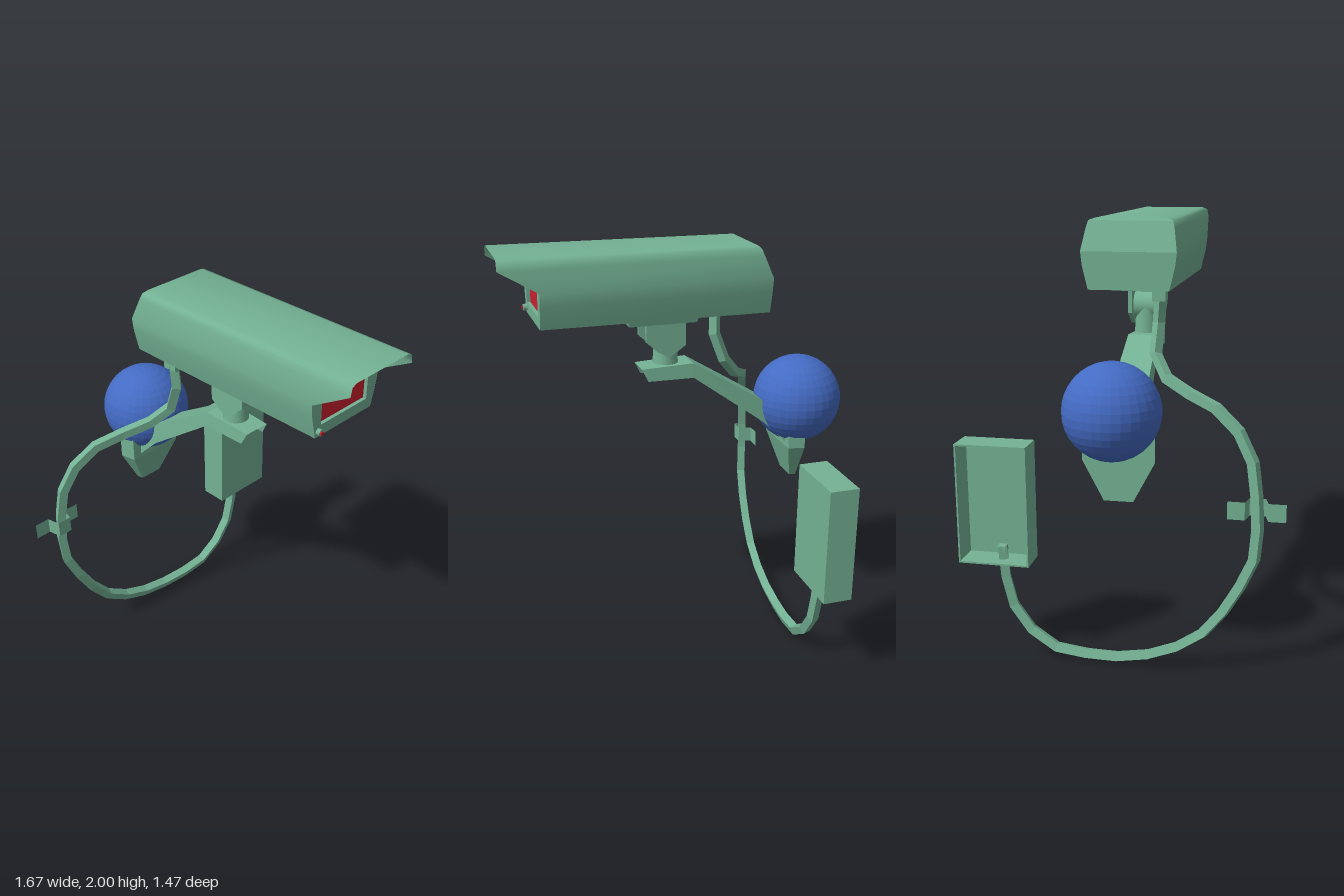
import * as THREE from 'three';
import { toCreasedNormals } from 'three/addons/utils/BufferGeometryUtils.js';

const MID = 0.018; // z of the camera's centre plane

// Skin a list of equal-length rows of [x, y, z] points
function loft(rows, closed, crease = 0.01) {
  const n = rows[0].length, index = [];
  for (let i = 0; i < rows.length - 1; i++) {
    for (let j = 0; j < (closed ? n : n - 1); j++) {
      const k = (j + 1) % n, a = i * n + j, b = i * n + k, c = a + n, d = b + n;
      index.push(a, b, c, b, d, c);
    }
  }
  const g = new THREE.BufferGeometry();
  g.setAttribute('position', new THREE.Float32BufferAttribute(rows.flat(2), 3));
  g.setIndex(index);
  return toCreasedNormals(g, crease);
}

function flat(geometry) {
  const g = geometry.index ? geometry.toNonIndexed() : geometry;
  g.computeVertexNormals();
  return g;
}

const shapeOf = (pts) => new THREE.Shape(pts.map(([x, y]) => new THREE.Vector2(x, y)));
const extrude = (shape, depth) => new THREE.ExtrudeGeometry(shape, { depth, bevelEnabled: false });

export function createModel() {
  const model = new THREE.Group();
  const green = new THREE.MeshStandardMaterial({ color: 0x74b294, side: THREE.DoubleSide });
  green.name = 'green';
  const blue = new THREE.MeshStandardMaterial({ color: 0x446bc4 });
  blue.name = 'blue';
  const red = new THREE.MeshStandardMaterial({ color: 0xcc2030 });
  red.name = 'red';

  function add(name, geometry, material = green, x = 0, y = 0, z = 0) {
    const mesh = new THREE.Mesh(geometry, material);
    mesh.name = name;
    mesh.position.set(x, y, z);
    model.add(mesh);
    return mesh;
  }
  // Box from its minimum and maximum corners
  function box(name, x0, x1, y0, y1, z0, z1, material = green) {
    return add(name, new THREE.BoxGeometry(x1 - x0, y1 - y0, z1 - z0), material,
      (x0 + x1) / 2, (y0 + y1) / 2, (z0 + z1) / 2);
  }

  // Camera housing: half profile as [half width, y, back x, front x]
  const half = [
    [0.18, 1.685, -0.4, 0.66], [0.205, 1.79, -0.4, 0.66], [0.212, 1.85, -0.4, 0.66],
    [0.195, 1.95, -0.36, 0.83], [0.187, 1.98, -0.348, 0.83], [0.16, 1.99, -0.34, 0.83],
  ];
  const back = (s) => half.map(([w, y, xb]) => [xb, y, MID + s * w]);
  const front = (s) => half.map(([w, y, , xf]) => [xf, y + (y > 1.96 ? 0.01 : 0), MID + s * w * 0.97]);
  const ring = (f) => [...f(1), ...f(-1).reverse()];
  add('housing', loft([ring(front), ring(back)], true, 1.15));
  const left = back(1), right = back(-1);
  add('housingBack', loft(left.map((p, i) => [p, right[i]]), false));

  // Recessed red window in the front frame
  const frameSide = half.slice(0, 5).map(([w, y]) => [w * 0.965, y]);
  const frame = shapeOf([...frameSide, ...frameSide.map(([w, y]) => [-w, y]).reverse()]);
  const hole = [[-0.142, 1.735], [0.142, 1.735], [0.142, 1.95], [-0.142, 1.95]];
  frame.holes.push(shapeOf(hole));
  add('frontFrame', extrude(frame, 0.02).rotateY(Math.PI / 2), green, 0.64, 0, MID);
  box('window', 0.636, 0.644, 1.73, 1.955, MID - 0.147, MID + 0.147, red);

  // Small indicator light
  const disc = (r, h) => new THREE.CylinderGeometry(r, r, h, 10).rotateZ(-Math.PI / 2);
  add('lightRim', disc(0.015, 0.02), green, 0.668, 1.71, 0.175);
  add('light', disc(0.009, 0.008), red, 0.68, 1.71, 0.175);

  // Mounting plate and yoke below the housing
  const plateRow = (y, x0, x1, w) => [
    [x0, y, MID - w], [x0, y, MID + w], [x1, y, MID + w], [x1, y, MID - w],
  ];
  const bottom = plateRow(1.645, -0.075, 0.245, 0.1);
  add('mountPlate', loft([bottom, plateRow(1.69, -0.09, 0.255, 0.11)], true));
  add('mountPlateBottom', loft([[bottom[0], bottom[1]], [bottom[3], bottom[2]]], false));
  const yoke = shapeOf([[-0.03, 1.65], [-0.03, 1.535], [0.05, 1.48], [0.105, 1.51], [0.16, 1.56], [0.16, 1.65]]);
  for (const z of [MID - 0.078, MID + 0.058]) add('yokeCheek', extrude(yoke, 0.02), green, 0, 0, z);
  add('tiltAxle', new THREE.CylinderGeometry(0.065, 0.065, 0.13, 20).rotateX(Math.PI / 2), green, 0.06, 1.565, MID);
  add('neck', new THREE.CylinderGeometry(0.052, 0.06, 0.12, 20), green, 0.048, 1.5, MID);

  // Arm: a channel open below, as [top x, top y, bottom x, bottom y, half width]
  const arm = [
    [0.18, 1.43, 0.15, 1.37, 0.07], [-0.07, 1.44, -0.07, 1.37, 0.075],
    [-0.46, 1.2, -0.43, 1.11, 0.09], [-0.61, 1.11, -0.54, 1.0, 0.1],
  ];
  add('arm', loft(arm.map(([tx, ty, bx, by, w]) => [
    [bx, by, MID - w], [tx, ty, MID - w * 0.92], [tx, ty, MID + w * 0.92], [bx, by, MID + w],
  ]), false));

  // Tapered wall bracket behind the ball
  const wall = [[1.12, 0.16, -0.54], [0.98, 0.16, -0.54], [0.8, 0.065, -0.59]].map(([y, w, xf]) => [
    [-0.62, y, MID - w], [-0.62, y, MID + w], [xf, y, MID + w * 0.9], [xf, y, MID - w * 0.9],
  ]);
  add('wallBracket', loft([...wall].reverse(), true));
  const foot = wall[2];
  add('wallBracketFoot', loft([[foot[0], foot[1]], [foot[3], foot[2]]], false));

  // Blue ball joint
  add('ball', flat(new THREE.SphereGeometry(0.215, 32, 18)), blue, -0.625, 1.2, -0.007);

  // Square cable from the housing to the junction box
  const path = [
    [-0.24, 1.67, 0.135], [-0.235, 1.52, 0.125], [-0.31, 1.35, 0.13], [-0.4, 1.275, 0.23],
    [-0.505, 1.2, 0.43], [-0.56, 1.05, 0.57], [-0.587, 0.8, 0.615], [-0.583, 0.56, 0.608],
    [-0.575, 0.41, 0.54], [-0.57, 0.2, 0.4], [-0.565, 0.08, 0.21], [-0.56, 0.03, 0],
    [-0.55, 0.028, -0.17], [-0.545, 0.06, -0.34], [-0.54, 0.25, -0.505], [-0.54, 0.52, -0.545],
  ].map((p) => new THREE.Vector3(...p));
  const curve = new THREE.CatmullRomCurve3(path, false, 'centripetal');
  add('cable', flat(new THREE.TubeGeometry(curve, 22, 0.029, 4)));
  box('cablePlug', -0.275, -0.2, 1.625, 1.675, 0.1, 0.16);
  box('cablePlugTop', -0.262, -0.213, 1.67, 1.69, 0.11, 0.15);
  box('cableEnd', -0.56, -0.52, 0.5, 0.525, -0.565, -0.525);

  // Clip holding the cable, bent from a strip
  const strip = [[-0.62, 0.74], [-0.62, 0.665], [-0.555, 0.65], [-0.555, 0.58], [-0.62, 0.565], [-0.62, 0.49]];
  add('cableClip', loft([0.75, 0.83].map((y) => strip.map(([x, z]) => [x, y, z])), false));

  // Junction box, open on the wall side
  const [x0, x1, y0, y1, z0, z1, t] = [-0.615, -0.475, 0.455, 1.015, -0.73, -0.4, 0.008];
  box('boxFace', x1 - t, x1, y0, y1, z0, z1);
  box('boxTop', x0, x1 - t, y1 - t, y1, z0, z1);
  box('boxBottom', x0, x1 - t, y0, y0 + t, z0, z1);
  box('boxSide', x0, x1 - t, y0 + t, y1 - t, z0, z0 + t);
  box('boxSide', x0, x1 - t, y0 + t, y1 - t, z1 - t, z1);

  return model;
}
